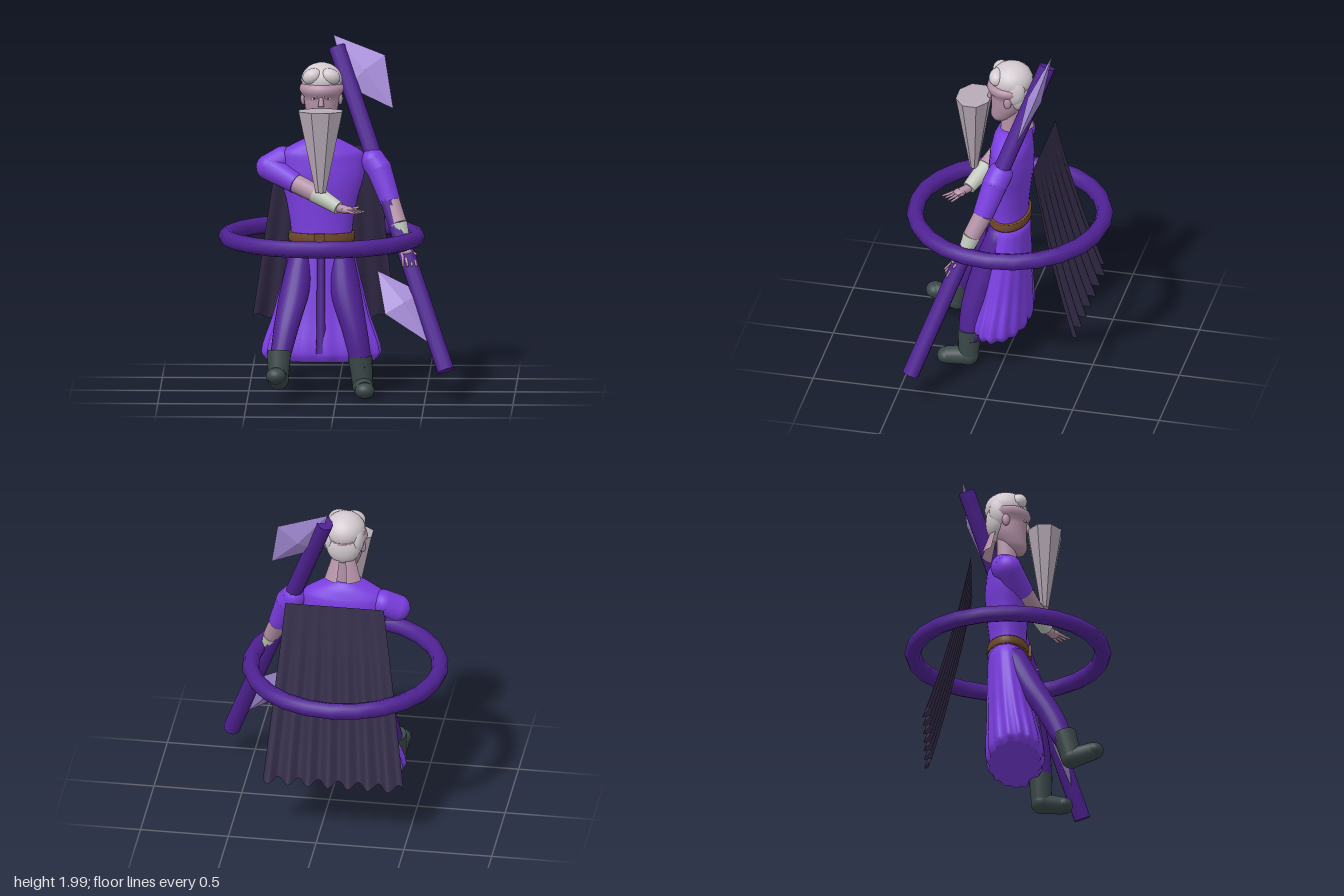
import * as THREE from 'three';

const V = (p) => new THREE.Vector3(p[0], p[1], p[2]);
const CX = -0.09; // body centre line

export function createModel() {
  const model = new THREE.Group();
  const mat = (name, color, side = THREE.FrontSide) => {
    const m = new THREE.MeshStandardMaterial({ color, side });
    m.name = name;
    return m;
  };
  const robe = mat('violet robe', 0x7a3de0, THREE.DoubleSide);
  const dark = mat('deep purple', 0x4f2294);
  const crystalMat = mat('lilac crystal', 0xa98fdc);
  const bootMat = mat('slate leather', 0x3a4748);
  const capeMat = mat('night cloth', 0x332b48, THREE.DoubleSide);
  const skin = mat('mauve skin', 0xb592a8, THREE.DoubleSide);
  const hairMat = mat('pale hair', 0xd3cad0);
  const beardMat = mat('grey beard', 0xb8abb8);
  const wrap = mat('pale bracer', 0xc2c8bd);
  const belt = mat('brown belt', 0x70482a);

  const add = (name, geo, material, parent = model) => {
    const mesh = new THREE.Mesh(geo, material);
    mesh.name = name;
    parent.add(mesh);
    return mesh;
  };
  // tapered round bar between two points
  const rod = (name, a, b, ra, rb, material, parent = model, sides = 16) => {
    const s = V(a), e = V(b), d = e.clone().sub(s);
    const m = add(name, new THREE.CylinderGeometry(rb, ra, d.length(), sides), material, parent);
    m.position.copy(s).add(e).multiplyScalar(0.5);
    m.quaternion.setFromUnitVectors(new THREE.Vector3(0, 1, 0), d.normalize());
    return m;
  };
  const ball = (name, c, r, material, parent = model) => {
    const m = add(name, new THREE.SphereGeometry(1, 20, 14), material, parent);
    m.position.copy(V(c));
    m.scale.set(...(Array.isArray(r) ? r : [r, r, r]));
    return m;
  };
  // smooth stack of elliptical rings [x, y, z, rx, rz], listed from bottom to top
  const stack = (name, rings, material, shape = () => [1, 1], sides = 32) => {
    const centre = new THREE.CatmullRomCurve3(rings.map(V));
    const radius = new THREE.CatmullRomCurve3(rings.map((r) => new THREE.Vector3(r[3], r[4], 0)));
    const n = (rings.length - 1) * 4, pos = [], idx = [];
    for (let i = 0; i <= n; i++) {
      const c = centre.getPoint(i / n), r = radius.getPoint(i / n);
      for (let j = 0; j < sides; j++) {
        const a = (j / sides) * Math.PI * 2, [kx, kz] = shape(a, i / n);
        pos.push(c.x + Math.cos(a) * r.x * kx, c.y, c.z - Math.sin(a) * r.y * kz);
        if (i === n) continue;
        const p = i * sides + j, q = i * sides + ((j + 1) % sides);
        idx.push(p, q, p + sides, q, q + sides, p + sides);
      }
    }
    const low = pos.length / 3, top = n * sides;
    pos.push(...rings[0].slice(0, 3), ...rings[rings.length - 1].slice(0, 3));
    for (let j = 0; j < sides; j++) {
      const k = (j + 1) % sides;
      idx.push(low, k, j, low + 1, top + j, top + k);
    }
    const g = new THREE.BufferGeometry();
    g.setAttribute('position', new THREE.Float32BufferAttribute(pos, 3));
    g.setIndex(idx);
    g.computeVertexNormals();
    return add(name, g, material);
  };

  // floating ring and long staff
  const ring = add('ring', new THREE.TorusGeometry(0.535, 0.048, 8, 24), dark);
  ring.rotation.x = Math.PI / 2;
  ring.position.set(CX, 0.892, 0);
  rod('staff', [-0.01, 1.935, -0.235], [0.62, 0.19, 0.41], 0.048, 0.048, dark, model, 10);

  // flat diamond crystals
  const crystal = (name, c) => {
    const p = c.map(V);
    const mid = p.reduce((s, v) => s.add(v), new THREE.Vector3()).multiplyScalar(0.25);
    const out = p[3].clone().sub(p[0]).cross(p[1].clone().sub(p[0])).setLength(0.04);
    const front = mid.clone().add(out), back = mid.clone().sub(out), tris = [];
    p.forEach((a, i) => {
      const b = p[(i + 1) % 4];
      tris.push(front, b, a, back, a, b);
    });
    const g = new THREE.BufferGeometry().setFromPoints(tris);
    g.computeVertexNormals();
    add(name, g, crystalMat);
  };
  crystal('upperCrystal', [[-0.03, 2, -0.26], [0.26, 1.89, -0.235], [0.31, 1.6, -0.13], [0.05, 1.72, -0.165]]);
  crystal('lowerCrystal', [[0.23, 0.73, 0.22], [0.48, 0.61, 0.24], [0.52, 0.34, 0.35], [0.275, 0.5, 0.33]]);

  // pleated cape
  const capeGeo = new THREE.PlaneGeometry(1, 1, 56, 10);
  const cp = capeGeo.attributes.position;
  for (let i = 0; i < cp.count; i++) {
    const u = cp.getX(i) + 0.5, t = 0.5 - cp.getY(i);
    const fold = Math.sin(u * Math.PI * 14);
    cp.setXYZ(i, THREE.MathUtils.lerp(-0.34 - 0.15 * t, 0.22 + 0.09 * t, u),
      1.38 - 1.01 * t + 0.015 * t * fold, -0.205 - 0.18 * t - 0.07 * t * t + 0.022 * t * fold);
  }
  capeGeo.computeVertexNormals();
  add('cape', capeGeo, capeMat);

  // robe: torso, belt and pleated skirt with a flatter front
  stack('torso', [
    [CX, 0.85, 0, 0.17, 0.105], [CX, 0.95, 0, 0.175, 0.105], [CX, 1.1, -0.005, 0.2, 0.115],
    [CX, 1.25, -0.01, 0.24, 0.12], [CX, 1.36, -0.01, 0.24, 0.11], [CX, 1.42, -0.005, 0.155, 0.09],
    [CX, 1.46, 0, 0.07, 0.065]], robe);
  stack('belt', [[CX, 0.87, 0, 0.185, 0.118], [CX, 0.89, 0, 0.188, 0.12], [CX, 0.92, 0, 0.185, 0.118]], belt);
  add('buckle', new THREE.BoxGeometry(0.06, 0.07, 0.02), belt).position.set(CX - 0.01, 0.89, 0.122);
  stack('skirt', [
    [CX, 0.2, 0.055, 0.3, 0.165], [CX, 0.25, 0.055, 0.33, 0.178], [CX, 0.45, 0.03, 0.27, 0.15],
    [CX, 0.65, 0.01, 0.22, 0.128], [CX, 0.87, -0.005, 0.172, 0.108]], robe,
  (a, t) => {
    const k = 1 + 0.045 * (1 - t) * Math.sin(16 * a);
    return [k, Math.sin(a) < 0 ? k * (0.78 + 0.22 * t) : k];
  }, 96);
  rod('sash', [CX, 0.25, 0.2], [CX, 0.86, 0.115], 0.026, 0.022, dark, model, 4).scale.z = 0.4;

  // legs and boots
  stack('rightLeg', [[-0.32, 0.22, 0.325, 0.055, 0.06], [-0.28, 0.42, 0.24, 0.072, 0.075],
    [-0.238, 0.6, 0.135, 0.083, 0.085], [-0.2, 0.85, 0.02, 0.06, 0.075]], dark, undefined, 20);
  stack('leftLeg', [[0.14, 0.18, 0.18, 0.06, 0.065], [0.1, 0.38, 0.16, 0.072, 0.075],
    [0.045, 0.6, 0.1, 0.088, 0.085], [0.02, 0.85, 0.02, 0.06, 0.075]], dark, undefined, 20);
  const boot = (name, top, ankle, toe) => {
    const g = new THREE.Group();
    g.name = name;
    model.add(g);
    rod('shaft', top, ankle, 0.068, 0.058, bootMat, g);
    ball('heel', ankle, 0.06, bootMat, g);
    rod('instep', ankle, toe, 0.058, 0.05, bootMat, g);
    ball('toe', toe, [0.056, 0.045, 0.052], bootMat, g);
  };
  boot('rightBoot', [-0.32, 0.285, 0.32], [-0.325, 0.13, 0.36], [-0.335, 0.17, 0.49]);
  boot('leftBoot', [0.132, 0.235, 0.18], [0.147, 0.07, 0.185], [0.16, 0.06, 0.31]);

  // arms with sleeve, bare forearm, bracer and hand
  const arm = (name, shoulder, elbow, cuff, cut, wrist, knuckle, r) => {
    const g = new THREE.Group();
    g.name = name;
    model.add(g);
    ball('shoulder', shoulder, r, robe, g);
    rod('upperSleeve', shoulder, elbow, r, r, robe, g);
    ball('elbow', elbow, r, robe, g);
    rod('lowerSleeve', elbow, cuff, r, 0.058, robe, g);
    rod('forearm', cuff, cut, 0.054, 0.05, skin, g);
    rod('bracer', cut, wrist, 0.052, 0.038, wrap, g);
    const dir = V(knuckle).sub(V(wrist)), mid = V(wrist).addScaledVector(dir, 0.55);
    rod('wrist', wrist, mid.toArray(), 0.025, 0.024, skin, g);
    ball('palm', mid.toArray(), [0.034, 0.022, 0.034], skin, g);
    const across = new THREE.Vector3(0, 1, 0).cross(dir).normalize();
    for (let i = 0; i < 5; i++) { // four fingers and a thumb
      const s = i < 4 ? (i - 1.5) * 0.016 : 0.03;
      const tip = mid.clone().addScaledVector(dir, i < 4 ? 0.75 : 0.35).addScaledVector(across, s * 1.7);
      if (i === 4) tip.y += 0.02;
      rod('finger', mid.clone().addScaledVector(across, s).toArray(), tip.toArray(), 0.01, 0.006, skin, g, 8);
    }
  };
  arm('rightArm', [-0.31, 1.325, -0.02], [-0.385, 1.285, 0.005], [-0.23, 1.205, 0.09], [-0.12, 1.155, 0.145],
    [0.01, 1.085, 0.215], [0.105, 1.075, 0.29], 0.075);
  arm('leftArm', [0.2, 1.32, -0.01], [0.235, 1.275, 0.01], [0.3, 1.1, 0.065], [0.345, 0.98, 0.12],
    [0.375, 0.89, 0.15], [0.405, 0.79, 0.23], 0.072);

  // neck, head and face
  rod('neck', [CX, 1.42, -0.005], [CX, 1.6, -0.01], 0.06, 0.055, skin);
  stack('head', [
    [CX, 1.505, 0.06, 0.03, 0.03], [CX, 1.54, 0.042, 0.065, 0.066], [CX, 1.61, 0.015, 0.09, 0.09],
    [CX, 1.69, 0.007, 0.1, 0.1], [CX, 1.77, 0, 0.1, 0.1], [CX, 1.84, -0.005, 0.06, 0.06]], skin);
  rod('nose', [CX, 1.645, 0.112], [CX, 1.71, 0.1], 0.02, 0.01, skin, model, 6);
  for (const s of [-1, 1]) {
    ball('eye', [CX + s * 0.042, 1.69, 0.094], [0.017, 0.007, 0.008], hairMat);
    ball('pupil', [CX + s * 0.04, 1.69, 0.1], [0.006, 0.006, 0.004], capeMat);
    rod('brow', [CX + s * 0.018, 1.7, 0.107], [CX + s * 0.07, 1.722, 0.086], 0.009, 0.006, hairMat, model, 8);
    ball('ear', [CX + s * 0.104, 1.675, -0.01], [0.015, 0.036, 0.022], skin);
    // flared lock behind the neck
    const lock = add('napeLock', new THREE.CylinderGeometry(0.07, 0.125, 0.15, 6, 1, true,
      Math.PI + s * 0.6 - 0.38, 0.76), skin);
    lock.position.set(CX, 1.575, -0.025);
    // swept front and back hair
    ball('frontHair', [CX + s * 0.05, 1.81, 0.062], [0.058, 0.045, 0.046], hairMat).rotation.z = -s * 0.35;
    ball('sideHair', [CX + s * 0.075, 1.74, -0.045], [0.04, 0.085, 0.06], hairMat);
  }
  ball('hair', [CX, 1.78, -0.012], [0.116, 0.1, 0.12], hairMat);
  ball('backHair', [CX, 1.7, -0.06], [0.1, 0.11, 0.066], hairMat);

  // faceted wedge beard
  const beardGeo = new THREE.CylinderGeometry(0.13, 0.03, 0.465, 8, 1, false, Math.PI / 8).toNonIndexed();
  beardGeo.scale(1.03, 1, 0.79);
  beardGeo.computeVertexNormals();
  add('beard', beardGeo, beardMat).position.set(CX, 1.403, 0.207);

  return model;
}
